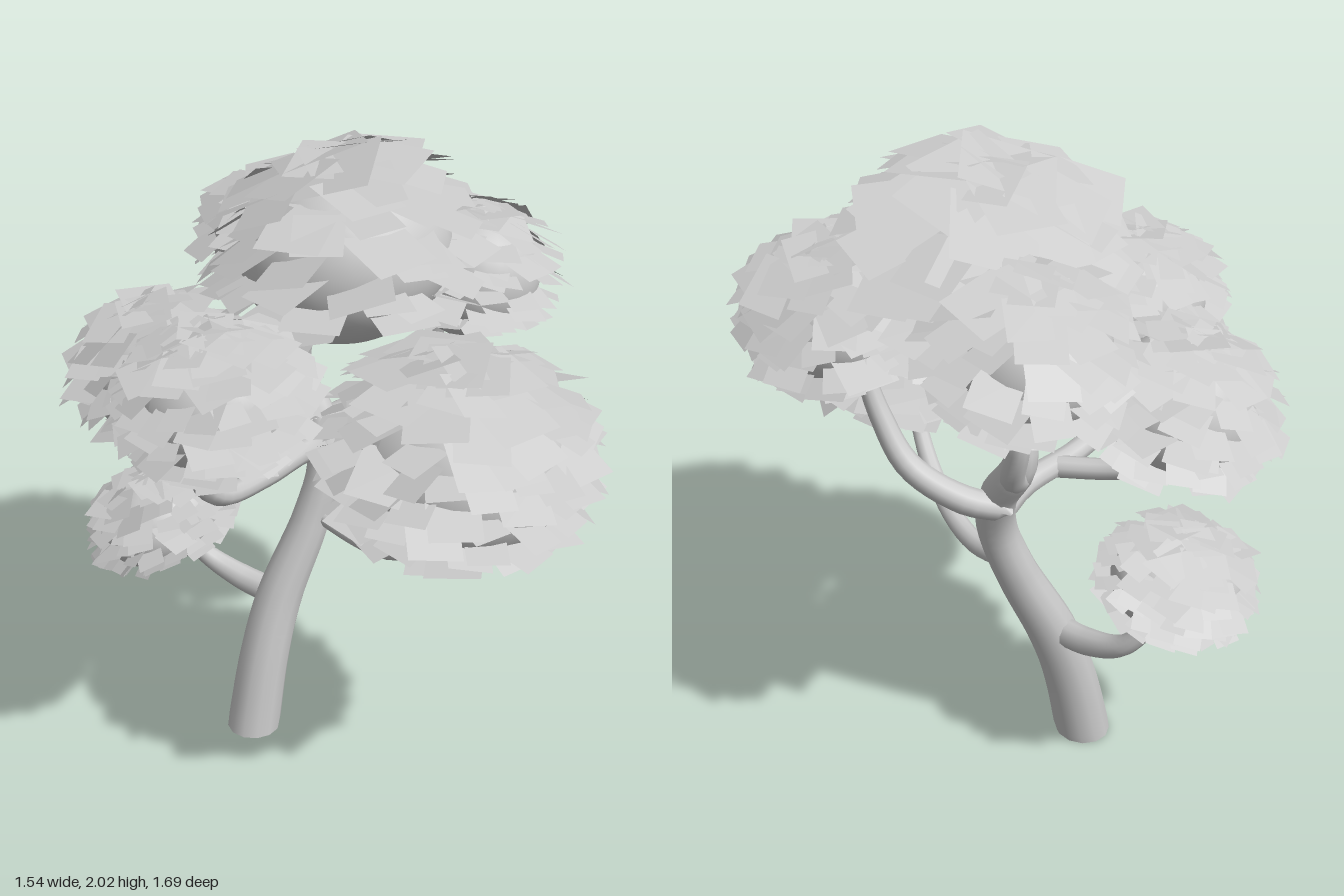
import * as THREE from 'three';
import { mergeGeometries } from 'three/addons/utils/BufferGeometryUtils.js';

const grey = new THREE.MeshStandardMaterial({ color: 0xcccccc });
const greyThin = new THREE.MeshStandardMaterial({ color: 0xcccccc, side: THREE.DoubleSide });

// small seeded generator, returns -1..1
let seed = 7;
function jitter() {
  seed = (seed * 16807) % 2147483647;
  return (seed / 2147483647) * 2 - 1;
}

// tube through points [x, y, z, radius], radius blended along the length
function taperedLimb(name, pts, segments, sides) {
  const curve = new THREE.CatmullRomCurve3(pts.map(p => new THREE.Vector3(p[0], p[1], p[2])));
  const geo = new THREE.TubeGeometry(curve, segments, 1, sides, false);
  const pos = geo.attributes.position;
  const v = new THREE.Vector3();
  for (let i = 0; i <= segments; i++) {
    const t = curve.getUtoTmapping(i / segments) * (pts.length - 1);
    const k = Math.min(Math.floor(t), pts.length - 2);
    const r = THREE.MathUtils.lerp(pts[k][3], pts[k + 1][3], t - k);
    const c = curve.getPointAt(i / segments);
    for (let j = 0; j <= sides; j++) {
      const n = i * (sides + 1) + j;
      v.fromBufferAttribute(pos, n).sub(c).multiplyScalar(r).add(c);
      // the first ring lies level so the trunk stands flat
      pos.setXYZ(n, v.x, i === 0 ? c.y : v.y, v.z);
    }
  }
  const mesh = new THREE.Mesh(geo, grey);
  mesh.name = name;
  return mesh;
}

// rows of overlapping square leaves, flat on the crown and drooping at the sides
function leafShingles([rx, ry, rz], size) {
  const leaves = [];
  const rows = Math.round(ry * 2.3 / (size * 0.46));
  const dummy = new THREE.Object3D();
  dummy.rotation.order = 'YXZ';
  for (let i = 0; i < rows; i++) {
    const phi = THREE.MathUtils.degToRad(10 + 124 * i / (rows - 1));
    const ring = Math.sin(phi) * (rx + rz) / 2;
    const count = Math.max(5, Math.round(2 * Math.PI * ring / (size * 0.76)));
    for (let j = 0; j < count; j++) {
      const a = (j + (i % 2) / 2 + jitter() * 0.4) / count * 2 * Math.PI;
      const p = phi + jitter() * 0.1;
      const out = size * (0.16 + 0.1 * jitter()) * Math.sin(p);
      const s = size * (1 + 0.2 * jitter()) * (p < 1 ? 1.15 : 0.95);
      dummy.position.set(
        Math.sin(a) * (Math.sin(p) * rx + out),
        Math.cos(p) * ry + size * 0.16,
        Math.cos(a) * (Math.sin(p) * rz + out));
      const droop = 0.1 + 0.3 * Math.min(1, p / 1.1);
      dummy.rotation.set(droop + jitter() * 0.14, a + jitter() * 0.45, jitter() * 0.2);
      dummy.scale.set(s, 1, s * 1.1);
      dummy.updateMatrix();
      leaves.push(new THREE.PlaneGeometry(1, 1).rotateX(-Math.PI / 2).applyMatrix4(dummy.matrix));
    }
  }
  return mergeGeometries(leaves);
}

// smooth core with leaves, leaning by tilt about x and z; floor flattens the underside
function foliage(name, centre, radii, size, tilt, floor = -1) {
  const group = new THREE.Group();
  group.name = name;
  group.position.set(...centre);
  group.rotation.set(tilt[0], 0, tilt[1]);
  const geo = new THREE.SphereGeometry(1, 32, 20).scale(...radii);
  const pos = geo.attributes.position;
  for (let i = 0; i < pos.count; i++) pos.setY(i, Math.max(pos.getY(i), floor));
  geo.computeVertexNormals();
  const core = new THREE.Mesh(geo, grey);
  core.name = name + 'Core';
  const leaves = new THREE.Mesh(leafShingles(radii, size), greyThin);
  leaves.name = name + 'Leaves';
  group.add(core, leaves);
  return group;
}

export function createModel() {
  const tree = new THREE.Group();
  tree.name = 'tree';

  // trunk and its closed foot
  tree.add(taperedLimb('trunk', [
    [-0.2, 0, -0.27, 0.088], [-0.14, 0.25, -0.28, 0.082], [-0.07, 0.45, -0.285, 0.077],
    [0.05, 0.7, -0.27, 0.064], [0.115, 0.88, -0.27, 0.06], [0.135, 1.02, -0.32, 0.056],
    [0.11, 1.16, -0.4, 0.05], [0.1, 1.28, -0.38, 0.042], [0.1, 1.46, -0.31, 0.032]], 40, 12));
  const foot = new THREE.Mesh(new THREE.CircleGeometry(0.086, 12).rotateX(Math.PI / 2), grey);
  foot.name = 'trunkFoot';
  foot.position.set(-0.2, 0, -0.27);
  tree.add(foot);

  // branches
  const branches = {
    lowBranch: [[-0.08, 0.46, -0.3, 0.045], [-0.12, 0.475, -0.42, 0.042],
      [-0.17, 0.52, -0.53, 0.034], [-0.25, 0.63, -0.6, 0.02]],
    frontBranch: [[0.07, 0.73, -0.25, 0.03], [0.095, 0.705, -0.1, 0.032], [0.1, 0.72, 0.05, 0.032],
      [0.1, 0.8, 0.2, 0.03], [0.09, 0.92, 0.32, 0.026], [0.08, 1.05, 0.37, 0.02]],
    rightBranch: [[0.12, 0.92, -0.28, 0.042], [0.03, 0.975, -0.25, 0.04], [-0.2, 0.99, -0.17, 0.036],
      [-0.42, 1.04, -0.08, 0.032], [-0.52, 1.14, -0.04, 0.028], [-0.54, 1.28, -0.03, 0.022]],
    backRightBranch: [[-0.1, 0.985, -0.2, 0.034], [-0.24, 1.0, -0.32, 0.032],
      [-0.33, 1.04, -0.42, 0.028], [-0.36, 1.17, -0.48, 0.02]],
    leftBranch: [[0.12, 0.99, -0.35, 0.042], [0.24, 1.03, -0.31, 0.042], [0.36, 1.12, -0.21, 0.038],
      [0.41, 1.26, -0.13, 0.032], [0.44, 1.42, -0.07, 0.025]],
    backBranch: [[0.11, 1.1, -0.39, 0.036], [0.16, 1.16, -0.45, 0.036],
      [0.17, 1.27, -0.5, 0.032], [0.15, 1.42, -0.51, 0.026]],
  };
  for (const [name, pts] of Object.entries(branches)) tree.add(taperedLimb(name, pts, 20, 10));

  // foliage clumps
  tree.add(
    foliage('topFoliage', [0.09, 1.665, -0.13], [0.32, 0.27, 0.31], 0.18, [-0.18, 0.05]),
    foliage('frontFoliage', [0.05, 1.22, 0.42], [0.32, 0.29, 0.33], 0.14, [0, -0.06], -0.265),
    foliage('leftFoliage', [0.48, 1.54, 0], [0.2, 0.2, 0.21], 0.115, [-0.1, -0.22]),
    foliage('rightFoliage', [-0.46, 1.38, -0.02], [0.23, 0.21, 0.23], 0.11, [0, 0.12]),
    foliage('backFoliage', [0.15, 1.575, -0.52], [0.22, 0.21, 0.22], 0.125, [-0.2, 0]),
    foliage('backRightFoliage', [-0.35, 1.275, -0.49], [0.22, 0.21, 0.22], 0.115, [-0.2, 0.2]),
    foliage('lowFoliage', [-0.33, 0.73, -0.56], [0.21, 0.155, 0.18], 0.085, [-0.25, 0.25]));
  return tree;
}
